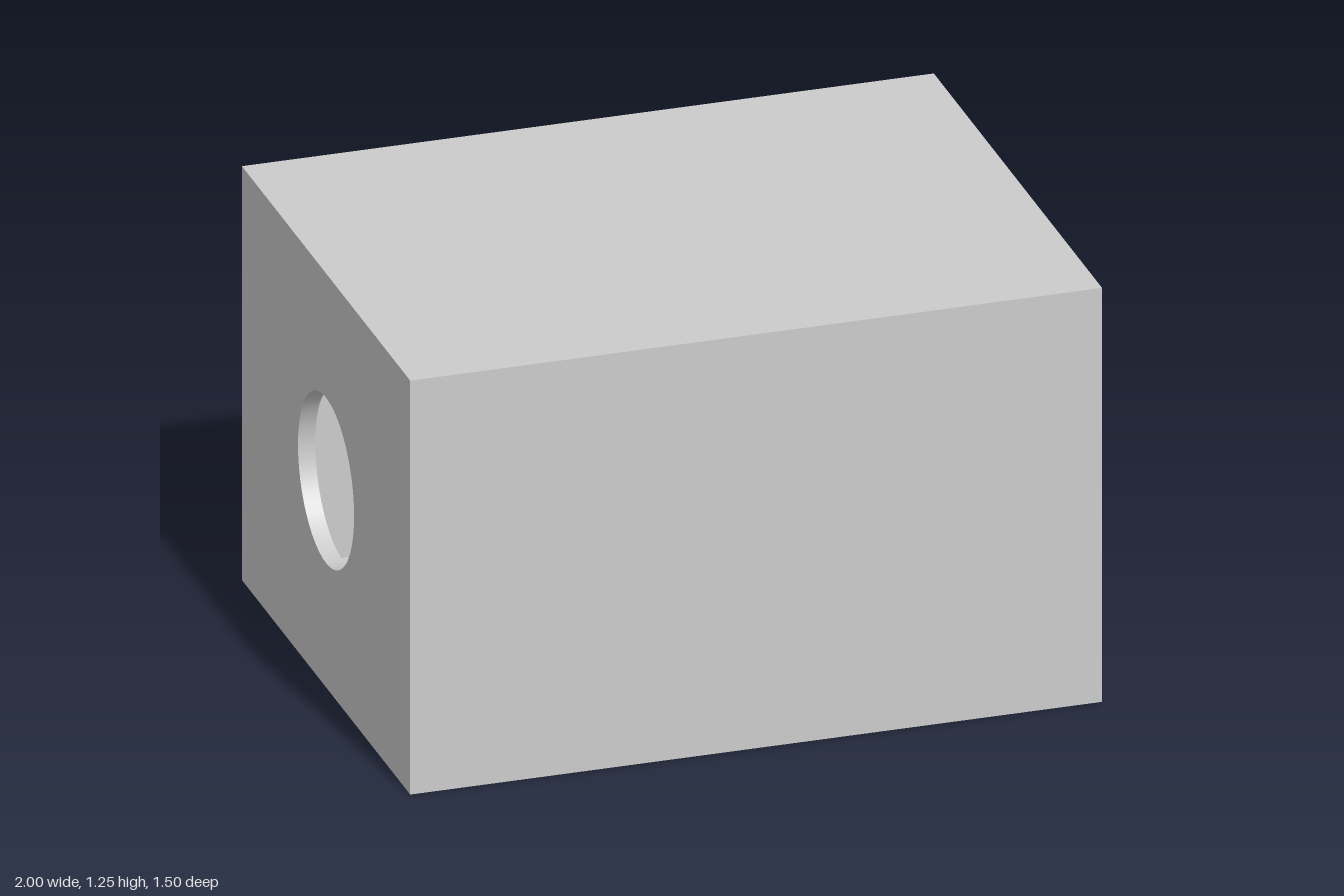
import * as THREE from 'three';
import { mergeGeometries } from 'three/addons/utils/BufferGeometryUtils.js';

const W = 2, H = 1.25, D = 1.5, T = 0.05, R = 0.25, MID = H / 2;

const paint = (color = 0xcccccc, side = THREE.FrontSide) => new THREE.MeshStandardMaterial({ color, side });
const grey = paint();

function add(parent, name, geometry, x = 0, y = 0, z = 0, material = grey) {
  const mesh = new THREE.Mesh(geometry, material);
  mesh.name = name;
  mesh.position.set(x, y, z);
  parent.add(mesh);
  return mesh;
}

const rect = (path, x0, y0, x1, y1) =>
  path.moveTo(x0, y0).lineTo(x1, y0).lineTo(x1, y1).lineTo(x0, y1).closePath();

// Six-sided skin with a round opening in both x ends, facing out or in
function skin(w, h, d, inward) {
  const flip = inward ? Math.PI : 0;
  const end = new THREE.Shape();
  rect(end, -d / 2, -h / 2, d / 2, h / 2);
  end.holes.push(new THREE.Path().absarc(0, 0, R, 0, Math.PI * 2, true));
  const faces = [];
  for (const s of [-1, 1]) {
    faces.push(new THREE.PlaneGeometry(w, h).rotateY((s < 0 ? Math.PI : 0) + flip).translate(0, 0, s * d / 2));
    faces.push(new THREE.PlaneGeometry(w, d).rotateX(-s * Math.PI / 2 + flip).translate(0, s * h / 2, 0));
    faces.push(new THREE.ShapeGeometry(end, 24).rotateY(s * Math.PI / 2 + flip).translate(s * w / 2, 0, 0));
  }
  return mergeGeometries(faces);
}

// Equipment along the foot of the back wall
function createConsole() {
  const group = new THREE.Group();
  group.name = 'console';
  const back = -D / 2 + T;
  const black = paint(0x151515), red = paint(0xcc2222), green = paint(0x22aa33), purple = paint(0x5533bb);
  const box = (w, h, d) => new THREE.BoxGeometry(w, h, d);

  add(group, 'consolePlinth', box(0.66, 0.04, 0.04), 0.47, T + 0.02, back + 0.02);
  add(group, 'consoleBackPlate', box(0.66, 0.36, 0.015), 0.47, 0.27, back + 0.0075);

  // Screen module with status lights
  add(group, 'screenModule', box(0.22, 0.15, 0.015), 0.31, 0.2, back + 0.022);
  add(group, 'screen', box(0.1, 0.04, 0.006), 0.36, 0.235, back + 0.032, black);
  for (let i = 0; i < 3; i++) {
    add(group, 'redLight', box(0.02, 0.02, 0.008), 0.33 + i * 0.03, 0.195, back + 0.033, red);
    add(group, 'greenLight', box(0.02, 0.02, 0.008), 0.33 + i * 0.03, 0.16, back + 0.033, green);
  }

  // Key pad
  add(group, 'keyPad', box(0.32, 0.15, 0.015), 0.61, 0.2, back + 0.022);
  for (let i = 0; i < 6; i++)
    for (let j = 0; j < 3; j++)
      add(group, 'key', box(0.024, 0.02, 0.008), 0.49 + i * 0.048, 0.165 + j * 0.036, back + 0.033, purple);

  // Upper row of dials
  for (let i = 0; i < 5; i++) {
    const x = 0.25 + i * 0.11;
    add(group, 'dialPlate', box(0.09, 0.09, 0.012), x, 0.36, back + 0.021);
    add(group, 'dial', new THREE.CylinderGeometry(0.025, 0.025, 0.02, 20).rotateX(Math.PI / 2), x, 0.36, back + 0.035);
  }
  return group;
}

// Full-height framed cabinet against the front wall
function createCabinet() {
  const group = new THREE.Group();
  group.name = 'cabinet';
  const wall = D / 2 - T, x0 = 0.38, x1 = 0.9, top = H - T;
  const frame = new THREE.Shape();
  rect(frame, x0, T, x1, top);
  frame.holes.push(rect(new THREE.Path(), x0 + 0.05, T + 0.05, x1 - 0.05, top - 0.06));
  add(group, 'cabinetFrame', new THREE.ExtrudeGeometry(frame, { depth: 0.1, bevelEnabled: false }), 0, 0, wall - 0.1);
  add(group, 'cabinetDoor', new THREE.BoxGeometry(0.42, 1.04, 0.06), 0.64, 0.62, wall - 0.03);
  add(group, 'cabinetPanel', new THREE.BoxGeometry(0.36, 0.86, 0.02), 0.64, 0.59, wall - 0.07);
  return group;
}

export function createModel() {
  const model = new THREE.Group();
  model.name = 'enclosedRoom';

  // Hollow shell
  add(model, 'outerWalls', skin(W, H, D, false), 0, MID);
  add(model, 'innerWalls', skin(W - 2 * T, H - 2 * T, D - 2 * T, true), 0, MID);
  for (const s of [-1, 1]) {
    const rim = new THREE.CylinderGeometry(R, R, T, 48, 1, true).rotateZ(Math.PI / 2);
    add(model, s < 0 ? 'rightOpeningRim' : 'leftOpeningRim', rim, s * (W - T) / 2, MID, 0, paint(0xcccccc, THREE.DoubleSide));
  }

  // Fittings inside
  model.add(createConsole(), createCabinet());
  return model;
}
